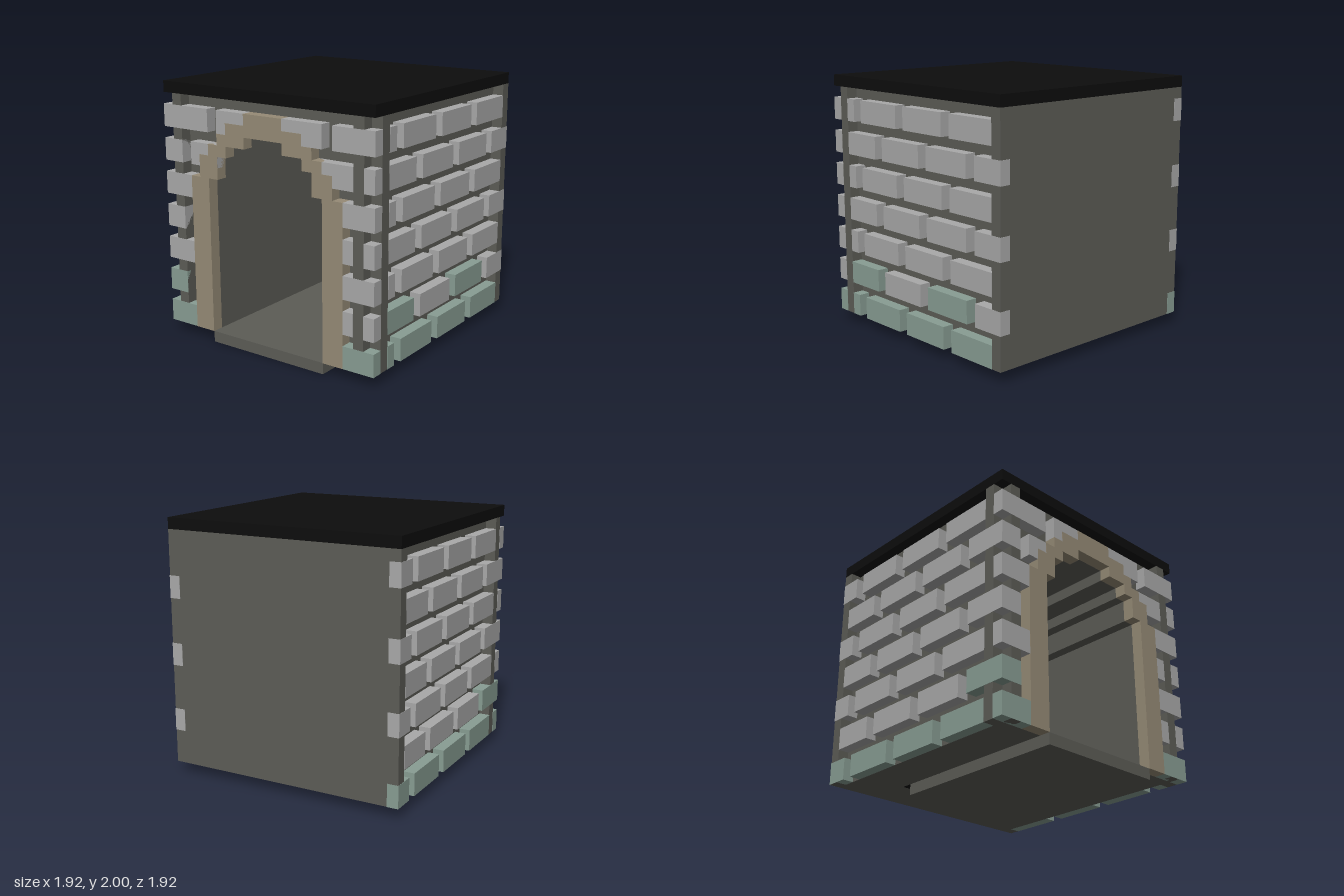
import * as THREE from 'three';

// Everything sits on a grid of 23 units in height
const U = 2 / 23;

const material = (name, color) => {
  const m = new THREE.MeshStandardMaterial({ color });
  m.name = name;
  return m;
};

export function createModel() {
  const stone = material('grey stone', 0xa9a9a9);
  const moss = material('mossy stone', 0x889d93);
  const mortar = material('dark mortar', 0x5c5c56);
  const tan = material('tan arch stone', 0x968b76);
  const black = material('black', 0x0d0d0d);

  const model = new THREE.Group();
  model.name = 'brickHut';

  // Box between two opposite corners, in grid units
  function box(name, mat, x0, x1, y0, y1, z0, z1, parent = model) {
    const geo = new THREE.BoxGeometry((x1 - x0) * U, (y1 - y0) * U, (z1 - z0) * U);
    const mesh = new THREE.Mesh(geo, mat);
    mesh.position.set((x0 + x1) / 2 * U, (y0 + y1) / 2 * U, (z0 + z1) / 2 * U);
    mesh.name = name;
    parent.add(mesh);
  }

  // Stepped half outline, given as [half width, top of step], closed by mirroring
  function stepped(steps) {
    const right = [];
    let y = 1;
    for (const [w, top] of steps) {
      right.push([w, y], [w, top]);
      y = top;
    }
    return [...right, ...right.slice().reverse().map(([x, h]) => [-x, h])];
  }
  const opening = stepped([[6, 15], [5, 17], [4, 18], [2, 19]]);
  const archOutline = stepped([[8, 15], [7, 17], [6, 18], [5, 19], [4, 20], [2, 21]]);

  // Doorway-shaped solid: an outline with the opening cut up from its foot
  function doorway(name, mat, outline, z0, z1) {
    const pts = [...outline, ...opening.slice().reverse()];
    const shape = new THREE.Shape(pts.map(([x, y]) => new THREE.Vector2(x * U, y * U)));
    const geo = new THREE.ExtrudeGeometry(shape, { depth: (z1 - z0) * U, bevelEnabled: false });
    const mesh = new THREE.Mesh(geo, mat);
    mesh.position.z = z0 * U;
    mesh.name = name;
    model.add(mesh);
  }

  // Core with the stepped passage, back walls, floor and roof
  doorway('wallCore', mortar, stepped([[10, 22]]), -7, 10);
  doorway('doorArch', tan, archOutline, 10, 11.04);
  box('coreBack', mortar, -10, 10, 1, 22, -10, -7);
  box('backWall', mortar, -11, 11, 1, 22, -11, -10);
  box('innerBackWall', black, -6, 6, 1, 19, -7, -6);
  box('floorSlab', mortar, -6, 6, 0, 1, -6, 11);
  box('roof', black, -11, 11, 22, 23, -11, 11);

  // Wall edges that cross at the front corners
  for (const s of [-1, 1]) {
    box('frontCornerPost', mortar, s * 9.5 - 0.5, s * 9.5 + 0.5, 1, 22, 10, 11);
    box('sideCornerPost', mortar, s * 10.5 - 0.5, s * 10.5 + 0.5, 1, 22, 9, 10);
  }

  // Brick courses; spans run along x on the front and along z on the sides
  const front = new THREE.Group(), left = new THREE.Group(), right = new THREE.Group();
  front.name = 'frontBricks';
  left.name = 'leftSideBricks';
  right.name = 'rightSideBricks';
  model.add(front, left, right);
  const P = 0.025; // bricks stand slightly proud of the mortar

  const frontLong = [[-11, -8], [8, 11]];
  const frontShort = [[-11, -9], [8, 9], [10, 11]];
  const plusXLong = [[8, 9], [2, 7], [-4, 1], [-10, -5]];
  const plusXShort = [[5, 9], [-1, 4], [-7, -2], [-11, -8]];
  const minusXLong = [[4, 9], [-2, 3], [-8, -3], [-11, -9]];
  const minusXShort = [[7, 11], [1, 6], [-5, 0], [-10, -6]];

  // Bricks that reach an outer edge keep the same small overhang there
  const edge = v => (Math.abs(v) === 11 ? v + Math.sign(v) * P : v);

  for (let row = 0; row < 7; row++) {
    const y0 = 1 + row * 3, y1 = y0 + 2, long = row % 2 === 0;

    let spans = long ? frontLong : frontShort;
    if (row === 5) spans = [[-11, -9], [-8, -5], [5, 9], [10, 11]];
    if (row === 6) spans = [[-11, -6], [-5, -2], [2, 6], [7, 11]];
    for (const [a, b] of spans) {
      const mat = row === 0 || (row === 1 && a === -11) ? moss : stone;
      box('frontBrick', mat, edge(a), edge(b), y0, y1, 10, 11 + P, front);
    }

    (long ? plusXLong : plusXShort).forEach(([a, b], i) => {
      const mat = row === 0 || (row === 1 && i % 2 === 0) ? moss : stone;
      box('sideBrick', mat, 10, 11 + P, y0, y1, edge(a), edge(b), left);
    });

    (long ? minusXLong : minusXShort).forEach(([a, b], i) => {
      const mat = row === 0 || (row === 1 && i === 0) ? moss : stone;
      box('sideBrick', mat, -11 - P, -10, y0, y1, edge(a), edge(b), right);
    });
  }
  return model;
}
